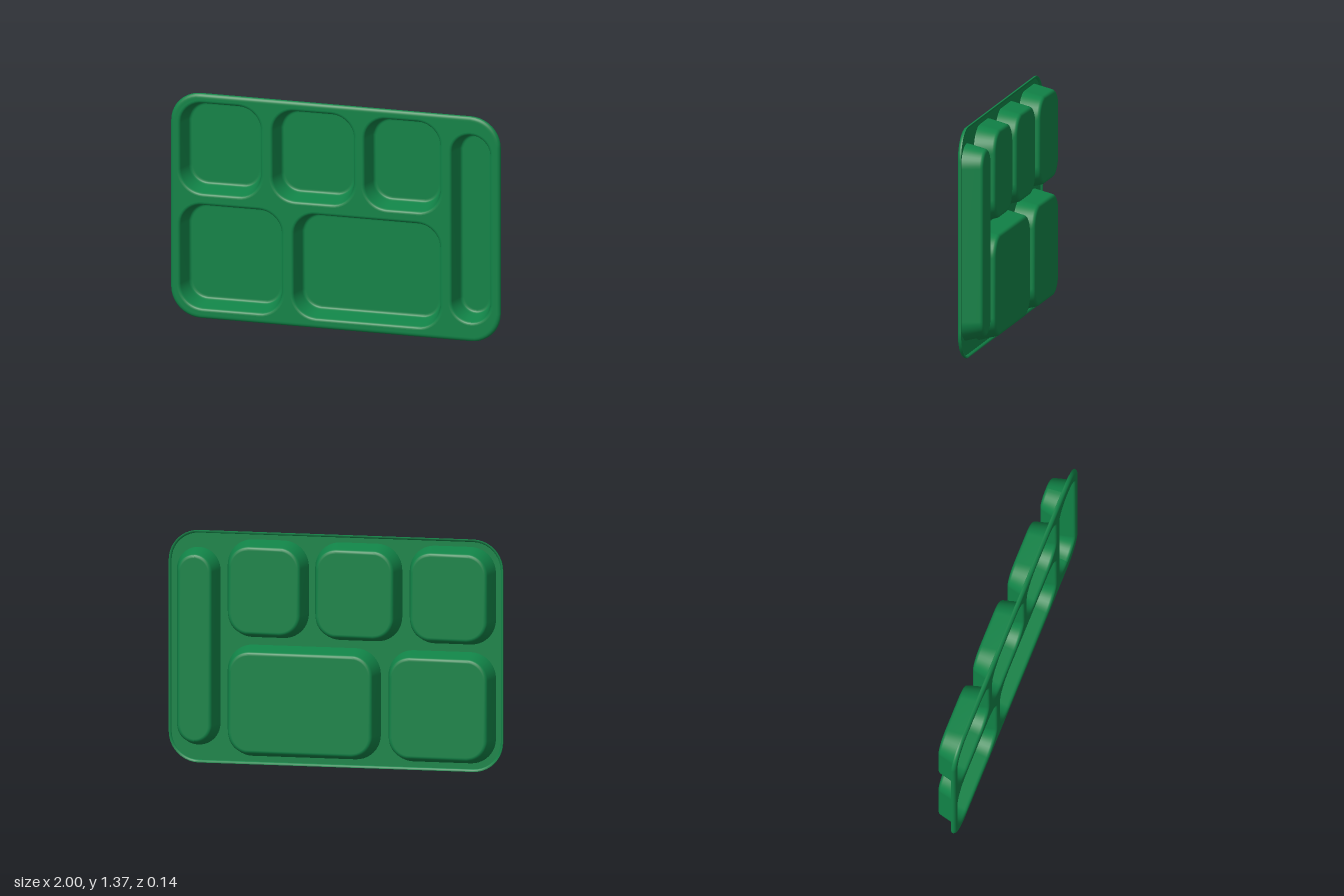
import * as THREE from 'three';

const H = 1.37;            // tray height
const FRONT = 0.068;       // front face of the deck
const BACK = 0.055;        // rear face of the deck
const STEPS = 10;          // segments per rounded corner

const material = new THREE.MeshStandardMaterial({ color: 0x118347, roughness: 0.6 });

// Counter-clockwise rounded rectangle, shrunk by inset
function ring({ x0, x1, y0, y1, r }, inset) {
  const rad = r - inset;
  const corners = [[x1 - r, y1 - r], [x0 + r, y1 - r], [x0 + r, y0 + r], [x1 - r, y0 + r]];
  const pts = [];
  corners.forEach(([cx, cy], q) => {
    for (let i = 0; i <= STEPS; i++) {
      const a = (q + i / STEPS) * Math.PI / 2;
      pts.push(new THREE.Vector2(cx + rad * Math.cos(a), cy + rad * Math.sin(a)));
    }
  });
  return pts;
}

// Skin through rings given as [inset, z]
function loft(rect, profile, flip = false) {
  const pos = [], index = [], n = 4 * (STEPS + 1);
  for (const [inset, z] of profile) for (const p of ring(rect, inset)) pos.push(p.x, p.y, z);
  for (let i = 0; i < profile.length - 1; i++) {
    for (let j = 0; j < n; j++) {
      const k = (j + 1) % n;
      const a = i * n + j, b = i * n + k, c = b + n, d = a + n;
      if (flip) index.push(a, c, b, a, d, c);
      else index.push(a, b, c, a, c, d);
    }
  }
  const g = new THREE.BufferGeometry();
  g.setAttribute('position', new THREE.Float32BufferAttribute(pos, 3));
  g.setIndex(index);
  g.computeVertexNormals();
  return g;
}

// Flat sheet with optional holes, facing +z or (flip) -z
function sheet(rect, inset, z, flip = false, holes = [], holeInset = 0) {
  const shape = new THREE.Shape(ring(rect, inset));
  for (const h of holes) shape.holes.push(new THREE.Path(ring(h, holeInset).reverse()));
  const g = new THREE.ShapeGeometry(shape);
  if (flip) {
    const ix = g.index.array;
    for (let i = 0; i < ix.length; i += 3) [ix[i], ix[i + 1]] = [ix[i + 1], ix[i]];
    g.computeVertexNormals();
  }
  return g.translate(0, 0, z);
}

function add(parent, name, geometry) {
  const mesh = new THREE.Mesh(geometry, material);
  mesh.name = name;
  parent.add(mesh);
}

export function createModel() {
  const tray = new THREE.Group();
  tray.name = 'compartmentTray';

  const outline = { x0: -1, x1: 1, y0: 0, y1: H, r: 0.18 };
  const pocket = (name, x0, x1, y0, y1, r = 0.15) => ({ name, x0, x1, y0, y1, r });
  const pockets = [
    pocket('upperRightPocket', -0.955, -0.44, 0.75, 1.325),
    pocket('upperMiddlePocket', -0.395, 0.125, 0.75, 1.325),
    pocket('upperLeftPocket', 0.163, 0.648, 0.75, 1.325),
    pocket('lowerRightPocket', -0.955, -0.313, 0.05, 0.705),
    pocket('lowerLeftPocket', -0.267, 0.648, 0.05, 0.705),
    pocket('utensilSlot', 0.692, 0.952, 0.105, 1.27, 0.13),
  ];

  // Deck between the pockets, front and rear skins
  add(tray, 'deckFront', sheet(outline, 0.028, FRONT, false, pockets, -0.006));
  add(tray, 'deckBack', sheet(outline, 0.016, BACK, true, pockets, 0));

  // Rounded rim and the small lip turned back from it
  add(tray, 'rim', loft(outline, [[0.001, 0.044], [0, 0.047], [0, 0.051], [0.002, 0.057],
    [0.006, 0.062], [0.012, 0.066], [0.02, FRONT], [0.028, FRONT]]));
  add(tray, 'rimLip', loft(outline, [[0.016, BACK], [0.011, 0.044], [0.001, 0.044]]));

  // Pockets: filleted inside, outer shell, and both faces of the floor
  for (const p of pockets) {
    const g = new THREE.Group();
    g.name = p.name;
    add(g, 'pocketInside', loft(p, [[-0.006, FRONT], [0, 0.0675], [0.006, 0.065], [0.011, 0.06],
      [0.014, 0.052], [0.035, -0.038], [0.038, -0.047], [0.043, -0.053], [0.05, -0.056], [0.058, -0.056]]));
    add(g, 'pocketFloor', sheet(p, 0.058, -0.056));
    add(g, 'pocketShell', loft(p, [[0, BACK], [0.001, 0.048], [0.026, -0.05], [0.029, -0.058],
      [0.034, -0.064], [0.042, -0.068], [0.05, -0.068]], true));
    add(g, 'pocketUnderside', sheet(p, 0.05, -0.068, true));
    tray.add(g);
  }
  return tray;
}
